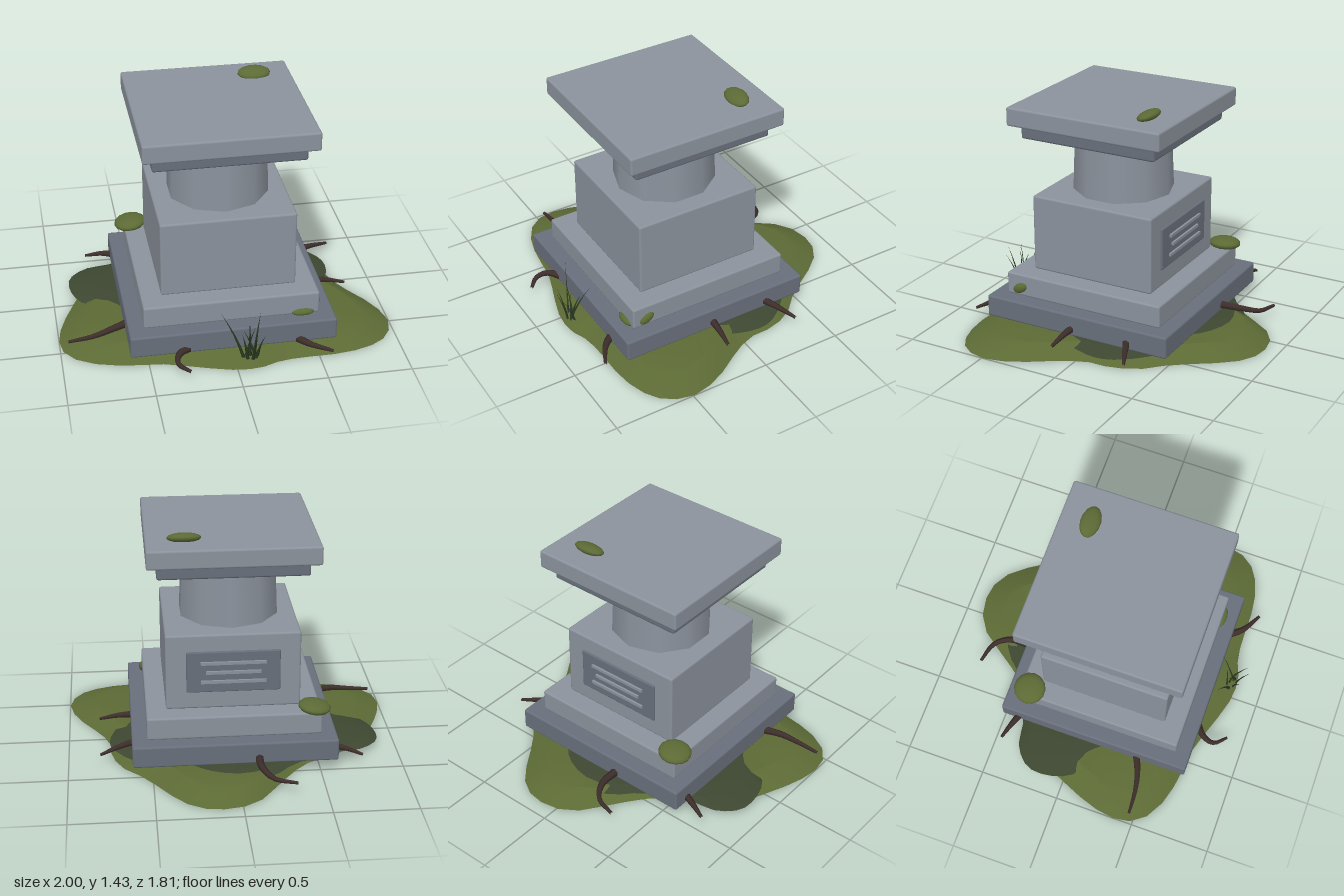
import * as THREE from 'three';
import { toCreasedNormals } from 'three/addons/utils/BufferGeometryUtils.js';
import { RoundedBoxGeometry } from 'three/addons/geometries/RoundedBoxGeometry.js';

const mat = (color, extra = {}) => new THREE.MeshStandardMaterial({ color, ...extra });
const stone = mat(0x8b929c);
const darkStone = mat(0x686f7b);
const grassGreen = mat(0x5c6a35);
const darkGreen = mat(0x3d4730);
const rootBrown = mat(0x3d2e2b);
const bladeGreen = mat(0x2c3a22, { side: THREE.DoubleSide });

// Mound: a closed outline (x, z pairs) repeated in shrinking rings [scale, y]
function moundGeometry(outline, rings) {
  const pts = [];
  for (let i = 0; i < outline.length; i += 2) pts.push(new THREE.Vector3(outline[i], 0, outline[i + 1]));
  const n = 48;
  const rim = new THREE.CatmullRomCurve3(pts, true).getPoints(n).slice(0, n);
  const pos = [], index = [];
  for (const [s, y] of rings) for (const p of rim) pos.push(p.x * s, y, p.z * s);
  const bottom = rings.length * n, top = bottom + 1, last = bottom - n;
  pos.push(0, rings[0][1], 0, 0, rings.at(-1)[1], 0);
  for (let i = 0; i < n; i++) {
    const j = (i + 1) % n;
    for (let r = 0; r < last; r += n) index.push(r + i, r + n + i, r + j, r + j, r + n + i, r + n + j);
    index.push(bottom, i, j, top, last + j, last + i);
  }
  const g = new THREE.BufferGeometry();
  g.setAttribute('position', new THREE.Float32BufferAttribute(pos, 3));
  g.setIndex(index);
  return toCreasedNormals(g, 0.3);
}

// Root: a tube whose radius shrinks towards its tip
function rootGeometry(points, radius) {
  const curve = new THREE.CatmullRomCurve3(points.map(p => new THREE.Vector3(...p)));
  const seg = 12, sides = 6;
  const g = new THREE.TubeGeometry(curve, seg, radius, sides);
  const p = g.attributes.position, v = new THREE.Vector3();
  for (let i = 0; i < p.count; i++) {
    const t = Math.floor(i / (sides + 1)) / seg;
    const c = curve.getPointAt(t);
    v.fromBufferAttribute(p, i).sub(c).multiplyScalar(1 - 0.65 * t).add(c);
    p.setXYZ(i, v.x, v.y, v.z);
  }
  g.computeVertexNormals();
  return g;
}

// Grass blade: a thin cone bent so that its tip moves by (dx, dz)
function bladeGeometry(height, dx, dz) {
  const g = new THREE.ConeGeometry(0.011, height, 4, 4, true);
  const p = g.attributes.position;
  for (let i = 0; i < p.count; i++) {
    const t = THREE.MathUtils.clamp(p.getY(i) / height + 0.5, 0, 1);
    const bend = t * (0.6 + 0.4 * t);
    p.setXYZ(i, p.getX(i) + dx * bend, t * height, p.getZ(i) * 0.6 + dz * bend);
  }
  g.computeVertexNormals();
  return g;
}

export function createModel() {
  const model = new THREE.Group();
  model.name = 'pedestal';
  const add = (name, geometry, material, x = 0, y = 0, z = 0, parent = model) => {
    const m = new THREE.Mesh(geometry, material);
    m.name = name;
    m.position.set(x, y, z);
    parent.add(m);
    return m;
  };
  const group = name => {
    const g = new THREE.Group();
    g.name = name;
    model.add(g);
    return g;
  };

  // Ground: lobed grass mound with a darker patch lying over it
  add('grassMound', moundGeometry([
    0.11, -0.91, 0.27, -0.87, 0.41, -0.72, 0.54, -0.52, 0.68, -0.37, 0.74, -0.21, 0.75, -0.05,
    0.83, 0.11, 0.94, 0.29, 1.0, 0.48, 0.95, 0.64, 0.83, 0.73, 0.65, 0.775, 0.43, 0.78,
    0.27, 0.79, 0.14, 0.835, 0, 0.835, -0.21, 0.775, -0.4, 0.71, -0.61, 0.685, -0.8, 0.64,
    -0.96, 0.53, -1.0, 0.37, -0.96, 0.19, -0.87, -0.03, -0.78, -0.2, -0.61, -0.32,
    -0.45, -0.4, -0.33, -0.52, -0.21, -0.69, -0.07, -0.86,
  ], [[1, 0], [0.87, 0.052], [0.82, 0.066], [0.6, 0.068]]), grassGreen);
  add('darkGrassPatch', moundGeometry([
    0, -0.69, 0.2, -0.63, 0.33, -0.52, 0.58, -0.4, 0.73, -0.22, 0.75, -0.1, 0.7, 0.07,
    0.58, 0.3, 0.4, 0.55, 0.15, 0.68, -0.2, 0.66, -0.48, 0.55, -0.6, 0.3, -0.73, 0.1,
    -0.83, 0.05, -0.89, -0.1, -0.88, -0.24, -0.77, -0.34, -0.61, -0.37, -0.34, -0.5, -0.2, -0.63,
  ], [[1, 0.045], [0.9, 0.068], [0.7, 0.074]]), darkGreen);

  // Stacked stone blocks: name, material, width, bottom, top, depth
  const blocks = [
    ['plinth', darkStone, 1.225, 0.065, 0.2, 1.22],
    ['step', stone, 1.045, 0.2, 0.34, 1.04],
    ['block', stone, 0.805, 0.34, 0.815, 0.8],
    ['lowerCap', darkStone, 0.89, 1.18, 1.27, 0.88],
    ['upperCap', stone, 1.01, 1.265, 1.38, 1.005],
  ];
  for (const [name, m, w, y0, y1, d] of blocks) {
    add(name, new RoundedBoxGeometry(w, y1 - y0, d, 2, 0.013), m, 0.006, (y0 + y1) / 2, 0.1);
  }
  add('column', new THREE.CylinderGeometry(0.292, 0.307, 0.38, 10), stone, 0.006, 1, 0.1);

  // Plaque on the back with three raised bars
  add('plaque', new RoundedBoxGeometry(0.56, 0.26, 0.04, 1, 0.008), darkStone, 0.006, 0.58, -0.293);
  [0.39, 0.33, 0.39].forEach((w, i) =>
    add('plaqueBar', new THREE.BoxGeometry(w, 0.018, 0.02), stone, 0.006, 0.64 - i * 0.06, -0.316));

  // Moss clumps: centre, radii, rotation
  const moss = group('moss');
  const clumps = [
    [[0.285, 1.395, -0.22], [0.1, 0.03, 0.06], [0.3, 0, 0]],
    [[-0.475, 0.355, -0.36], [0.1, 0.038, 0.1], [0, 0, 0.12]],
    [[0.43, 0.213, 0.615], [0.07, 0.024, 0.03], [0, 0, 0]],
    [[0.528, 0.25, 0.53], [0.02, 0.03, 0.052], [0.5, 0, 0]],
  ];
  for (const [c, r, rot] of clumps) {
    const m = add('mossClump', new THREE.SphereGeometry(1, 14, 9), grassGreen, ...c, moss);
    m.scale.set(...r);
    m.rotation.set(...rot);
  }

  // Roots creeping out from under the plinth
  const roots = group('roots');
  const paths = [
    [[-0.13, 0.1, -0.48], [-0.14, 0.1, -0.64], [-0.2, 0.08, -0.73], [-0.33, 0.07, -0.77]],
    [[-0.55, 0.1, -0.38], [-0.65, 0.1, -0.42], [-0.76, 0.07, -0.46]],
    [[-0.55, 0.1, 0.37], [-0.69, 0.09, 0.43], [-0.8, 0.07, 0.455], [-0.95, 0.055, 0.465]],
    [[-0.24, 0.08, 0.67], [-0.33, 0.09, 0.75], [-0.345, 0.075, 0.82], [-0.28, 0.06, 0.89]],
    [[0.37, 0.08, 0.67], [0.44, 0.08, 0.76], [0.57, 0.065, 0.835]],
    [[0.55, 0.11, 0.12], [0.69, 0.1, 0.13], [0.81, 0.075, 0.14]],
    [[0.55, 0.11, -0.22], [0.68, 0.1, -0.28], [0.81, 0.075, -0.34]],
  ];
  for (const p of paths) add('root', rootGeometry(p, 0.027), rootBrown, 0, 0, 0, roots);

  // Grass tuft at the front: base x, base z, tip x, height, tip z
  const tuft = group('grassTuft');
  const blades = [
    [0.04, 0.8, -0.09, 0.29, 0.74], [0.06, 0.82, 0.02, 0.2, 0.86], [0.08, 0.79, 0.07, 0.26, 0.82],
    [0.1, 0.81, 0.16, 0.24, 0.7], [0.12, 0.8, 0.15, 0.19, 0.88], [0.09, 0.83, 0.1, 0.23, 0.9],
    [0.06, 0.78, 0.12, 0.17, 0.75], [0.11, 0.82, 0.04, 0.18, 0.78],
  ];
  for (const [x, z, tx, h, tz] of blades) {
    add('grassBlade', bladeGeometry(h, tx - x, tz - z), bladeGreen, x, 0.06, z, tuft);
  }
  return model;
}
